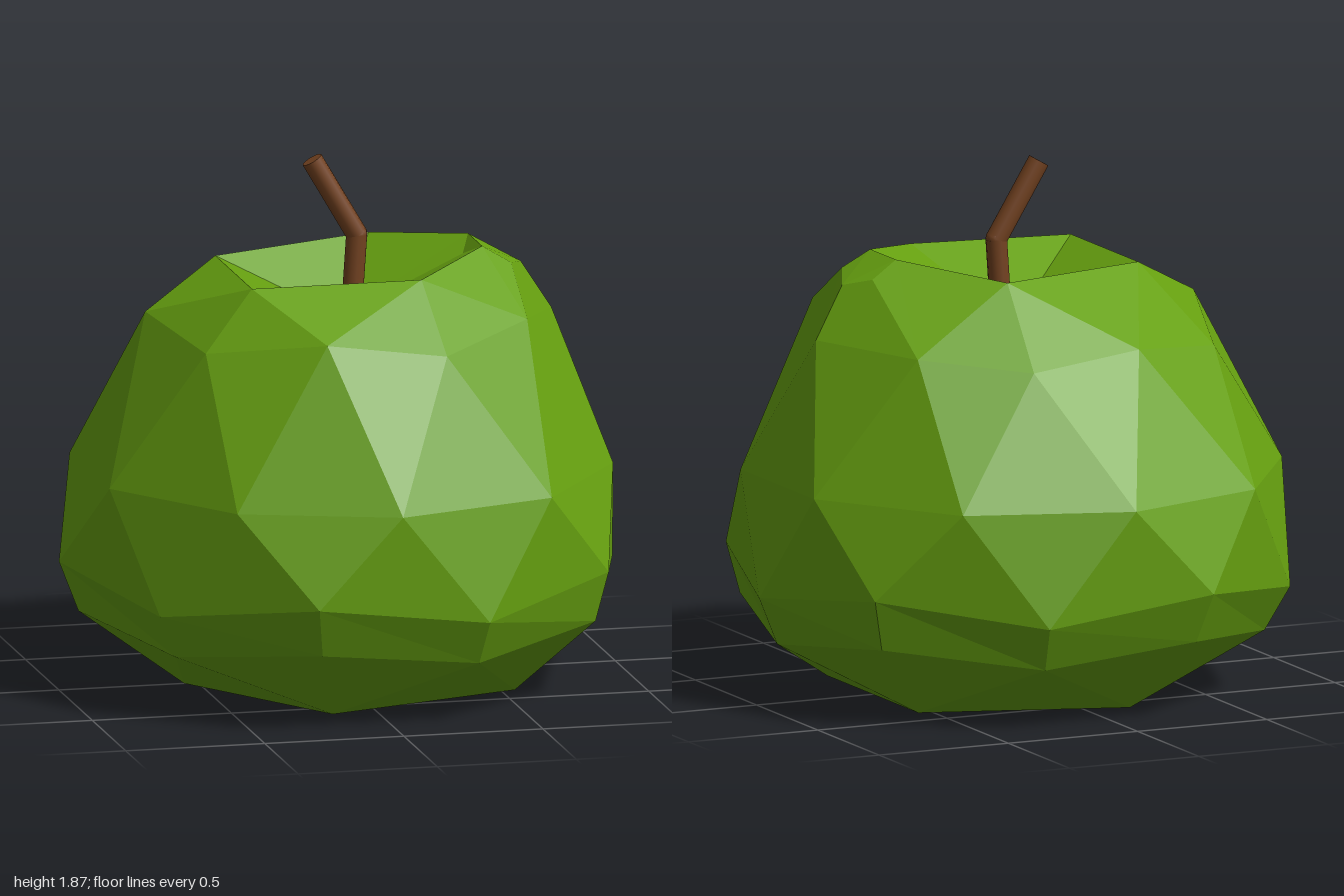
import * as THREE from 'three';

const skin = new THREE.MeshStandardMaterial({ color: 0x66a010 });
skin.name = 'green skin';
skin.flatShading = true;
const bark = new THREE.MeshStandardMaterial({ color: 0x734220 });
bark.name = 'brown stem';

// Ring of points mirrored across z, from its half (z >= 0)
function mirrored(half) {
  const back = half.filter(p => p[2] > 0).reverse().map(([x, y, z]) => [x, y, -z]);
  return [...half, ...back];
}

function buildBody() {
  const tris = [];
  const face = (...p) => {
    for (let i = 1; i < p.length - 1; i++) tris.push(...p[0], ...p[i], ...p[i + 1]);
  };
  const at = (ring, i) => ring[(i + ring.length) % ring.length];

  // Rings run from +x towards +z
  const rim = [null, [0.2, 1.5, 0.43], [-0.4, 1.49, 0.39], [-0.4, 1.49, -0.16], [0.2, 1.5, -0.36]];
  const shoulder = [
    [0.77, 1.28, 0], [0.58, 1.34, 0.43], [0.23, 1.28, 0.69], [-0.2, 1.34, 0.69], [-0.58, 1.28, 0.45],
    [-0.69, 1.34, 0], [-0.58, 1.22, -0.4], [-0.2, 1.27, -0.59], [0.23, 1.23, -0.64], [0.58, 1.27, -0.43],
  ];
  const belly = mirrored([
    [0.92, 0.78, 0.3], [0.58, 0.78, 0.8], [0, 0.78, 0.99], [-0.55, 0.78, 0.8], [-0.89, 0.78, 0.3],
  ]);
  const hip = mirrored([
    [0.99, 0.38, 0], [0.83, 0.46, 0.61], [0.32, 0.38, 0.96], [-0.3, 0.46, 0.99], [-0.78, 0.38, 0.6], [-1, 0.46, 0],
  ]);
  const under = mirrored([
    [0.92, 0.21, 0], [0.79, 0.28, 0.58], [0.3, 0.22, 0.88], [-0.27, 0.28, 0.91], [-0.71, 0.22, 0.54], [-0.93, 0.28, 0],
  ]);
  const foot = mirrored([[0.55, 0, 0.37], [-0.16, 0, 0.6], [-0.55, 0, 0]]);
  const dimple = [0.02, 1.28, -0.02];
  const hollow = [0, 0.14, 0];

  // Sides: two zigzag bands and one band of quads
  for (let i = 0; i < 10; i++) {
    const b0 = at(belly, i), b1 = at(belly, i + 1);
    face(b0, at(shoulder, i), at(shoulder, i + 1));
    face(b0, at(shoulder, i + 1), b1);
    face(b0, at(hip, i + 1), at(hip, i));
    face(b0, b1, at(hip, i + 1));
    face(at(under, i), at(hip, i), at(hip, i + 1), at(under, i + 1));
  }

  // Base with a shallow hollow
  for (let k = 0; k < 5; k++) {
    const f0 = at(foot, k), f1 = at(foot, k + 1), j = 2 * k + 1;
    face(f0, at(under, j - 1), at(under, j));
    face(f0, at(under, j), at(under, j + 1));
    face(f0, at(under, j + 1), f1);
    face(hollow, f0, f1);
  }

  // Top: facets around the rim and the stem dimple
  for (let k = 1; k < 5; k++) {
    face(at(shoulder, 2 * k), rim[k], at(shoulder, 2 * k + 1));
    face(at(shoulder, 2 * k - 1), rim[k], at(shoulder, 2 * k));
    if (k < 4) {
      face(at(shoulder, 2 * k + 1), rim[k], rim[k + 1]);
      face(dimple, rim[k + 1], rim[k]);
    }
  }

  // Chamfered bump on the +x side of the rim
  const a = [0.48, 1.55, 0.17], b = [0.48, 1.55, -0.04], inner = [0.44, 1.5, 0.05];
  const o1 = [0.58, 1.49, 0.19], o2 = [0.58, 1.49, -0.06], mid = [0.65, 1.46, 0.04];
  const front = shoulder[1], side = shoulder[0], back = shoulder[9];
  face(front, o1, a, rim[1]);
  face(side, mid, o1, front);
  face(back, o2, mid, side);
  face(back, rim[4], b, o2);
  face(mid, o2, b, a, o1);
  face(dimple, rim[1], a, inner);
  face(dimple, inner, b, rim[4]);
  face(inner, a, b);

  const geometry = new THREE.BufferGeometry();
  geometry.setAttribute('position', new THREE.Float32BufferAttribute(tris, 3));
  geometry.computeVertexNormals();
  const mesh = new THREE.Mesh(geometry, skin);
  mesh.name = 'fruitBody';
  return mesh;
}

function buildStem() {
  const stem = new THREE.Group();
  stem.name = 'stem';
  const r = 0.038;
  const points = [[0.045, 1.24, 0.01], [0.068, 1.58, 0.01], [-0.088, 1.85, -0.008]]
    .map(p => new THREE.Vector3(...p));
  for (let i = 0; i < 2; i++) {
    const dir = points[i + 1].clone().sub(points[i]);
    const part = new THREE.Mesh(new THREE.CylinderGeometry(r, r, dir.length(), 12), bark);
    part.name = i ? 'upperStem' : 'lowerStem';
    part.position.copy(points[i]).addScaledVector(dir, 0.5);
    part.quaternion.setFromUnitVectors(new THREE.Vector3(0, 1, 0), dir.normalize());
    stem.add(part);
  }
  // Joint that closes the bend
  const joint = new THREE.Mesh(new THREE.SphereGeometry(r, 12, 8), bark);
  joint.name = 'stemBend';
  joint.position.copy(points[1]);
  stem.add(joint);
  return stem;
}

export function createModel() {
  const group = new THREE.Group();
  group.name = 'fruit';
  group.add(buildBody(), buildStem());
  return group;
}
